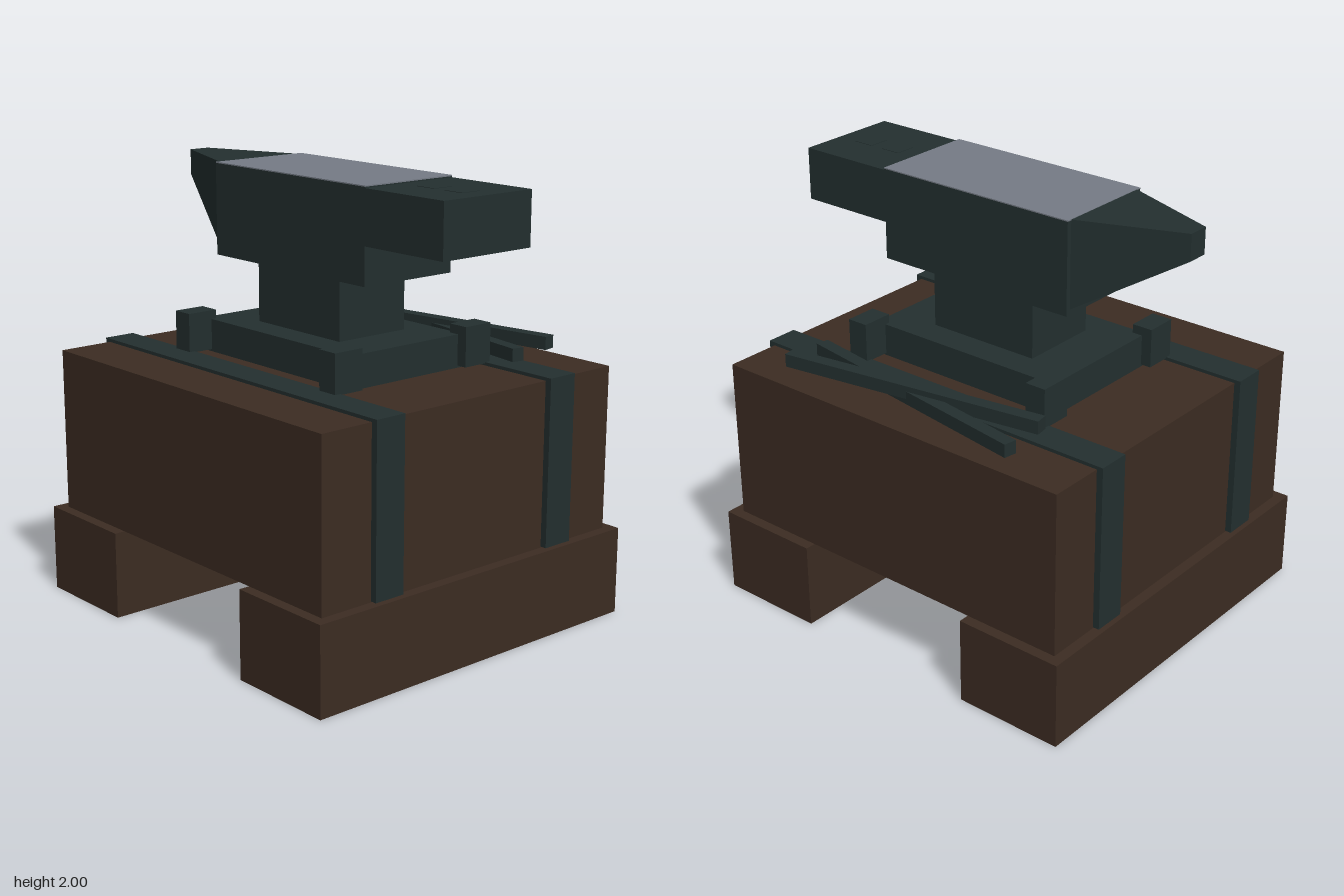
import * as THREE from 'three';

export function createModel() {
  const model = new THREE.Group();
  const material = (name, color) => {
    const m = new THREE.MeshStandardMaterial({ color });
    m.name = name;
    return m;
  };
  const iron = material('dark iron', 0x232f2f);
  const steel = material('worn steel', 0x757b85);
  const wood = material('dark wood', 0x3c2c22);
  wood.side = THREE.DoubleSide;

  const add = (name, geometry, mat) => {
    const mesh = new THREE.Mesh(geometry, mat);
    mesh.name = name;
    model.add(mesh);
    return mesh;
  };
  // Box given by its extents on each axis
  const box = (name, mat, [x0, x1], [y0, y1], [z0, z1]) => {
    const mesh = add(name, new THREE.BoxGeometry(x1 - x0, y1 - y0, z1 - z0), mat);
    mesh.position.set((x0 + x1) / 2, (y0 + y1) / 2, (z0 + z1) / 2);
    return mesh;
  };
  const span = (c, size) => [c - size / 2, c + size / 2];

  // Wooden block on two hollow runners, open underneath
  box('woodBlock', wood, [-0.91, 0.91], [0.4, 1.15], [-0.83, 0.83]);
  for (const s of [-1, 1]) {
    const runner = box('runner', wood, span(s * 0.705, 0.51), [0, 0.4], [-0.88, 0.88]);
    const index = Array.from(runner.geometry.index.array);
    index.splice(18, 6); // drop the bottom face
    runner.geometry.setIndex(index);
  }

  // Iron straps over the block
  for (const sz of [-1, 1]) {
    const z = span(sz * 0.497, 0.15);
    box('strapTop', iron, [-0.94, 0.94], [1.145, 1.165], z);
    for (const sx of [-1, 1]) box('strapSide', iron, span(sx * 0.92, 0.04), [0.405, 1.165], z);
  }

  // Foot plate, corner clamps and waist
  box('footPlate', iron, [-0.5, 0.5], [1.15, 1.3], [-0.325, 0.325]);
  for (const sx of [-1, 1])
    for (const sz of [-1, 1])
      box('clamp', iron, span(sx * 0.5, 0.1), [1.16, 1.34], span(sz * 0.375, 0.15));
  box('waist', iron, [-0.275, 0.275], [1.3, 1.58], [-0.188, 0.188]);

  // Anvil body with steel face and heel
  box('anvilBody', iron, [-0.5, 0.5], [1.58, 1.995], [-0.248, 0.248]);
  box('anvilFace', steel, [-0.5, 0.5], [1.995, 2], [-0.248, 0.248]);
  box('heel', iron, [0.5, 0.96], [1.75, 1.99], [-0.248, 0.248]);
  box('squareHole', iron, span(0.65, 0.1), [1.988, 1.992], span(0, 0.1));
  box('punchHole', iron, span(0.81, 0.1), [1.988, 1.992], span(0, 0.1));

  // Horn: a box tapered towards its tip
  const horn = new THREE.BoxGeometry(0.46, 1, 1);
  const p = horn.attributes.position;
  for (let i = 0; i < p.count; i++) {
    const tip = p.getX(i) < 0;
    const bottom = tip ? 1.88 : 1.605;
    p.setXYZ(i, tip ? -0.96 : -0.5, p.getY(i) > 0 ? 1.998 : bottom,
      Math.sign(p.getZ(i)) * (tip ? 0.05 : 0.225));
  }
  horn.computeVertexNormals();
  add('horn', horn, iron);

  // Crossed tong bars lying behind the anvil
  for (const [turn, y] of [[0.16, 1.225], [-0.16, 1.2]]) {
    const bar = add('tongBar', new THREE.BoxGeometry(1.26, 0.06, 0.06), iron);
    bar.position.set(0.025, y, -0.628);
    bar.rotation.y = turn;
  }
  return model;
}
